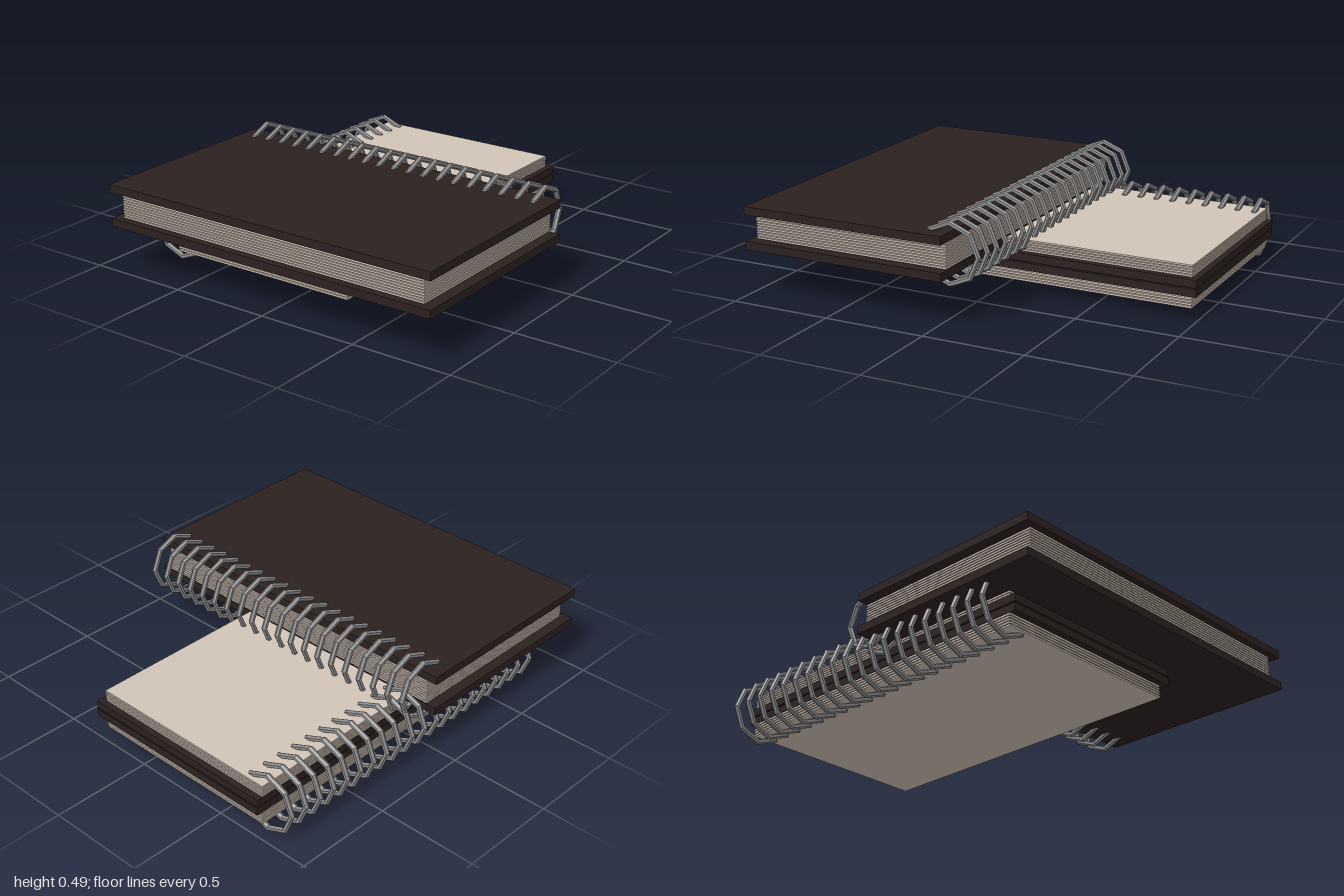
import * as THREE from 'three';

const coverMat = new THREE.MeshStandardMaterial({ color: 0x2b211f });
const pageMat = new THREE.MeshStandardMaterial({ color: 0xd2c4b7 });
const wireMat = new THREE.MeshStandardMaterial({ color: 0x8c8c8c, flatShading: true });

// Box given by its limits on each axis
function box(name, mat, [x0, x1], [y0, y1], [z0, z1]) {
  const mesh = new THREE.Mesh(new THREE.BoxGeometry(x1 - x0, y1 - y0, z1 - z0), mat);
  mesh.name = name;
  mesh.position.set((x0 + x1) / 2, (y0 + y1) / 2, (z0 + z1) / 2);
  return mesh;
}

// Stack of thin separate sheets filling a height range
function pageStack(name, x, [y0, y1], z, count) {
  const stack = new THREE.Group();
  stack.name = name;
  const thick = (y1 - y0) / (count * 1.5 - 0.5);
  for (let i = 0; i < count; i++) {
    const y = y0 + i * thick * 1.5;
    stack.add(box('page', pageMat, x, [y, y + thick], z));
  }
  return stack;
}

// Row of eight-sided wire rings from one position to another
function binding(name, from, to, turn) {
  const rings = new THREE.Group();
  rings.name = name;
  const geometry = new THREE.TorusGeometry(0.141, 0.014, 6, 8);
  const count = 20;
  for (let i = 0; i < count; i++) {
    const ring = new THREE.Mesh(geometry, wireMat);
    ring.name = 'ring';
    ring.position.lerpVectors(from, to, i / (count - 1));
    ring.rotation.y = turn;
    rings.add(ring);
  }
  return rings;
}

export function createModel() {
  const model = new THREE.Group();
  model.name = 'notebooks';

  // Closed notebook lying on top, bound along its back edge
  const upper = new THREE.Group();
  upper.name = 'closedNotebook';
  upper.add(
    box('frontCover', coverMat, [-0.9, 0.9], [0.39, 0.43], [-0.04, 1]),
    box('backCover', coverMat, [-0.9, 0.9], [0.222, 0.262], [-0.04, 1]),
    pageStack('pages', [-0.85, 0.85], [0.266, 0.388], [-0.04, 0.97], 10),
    binding('wireBinding', new THREE.Vector3(-0.82, 0.33, -0.04), new THREE.Vector3(0.815, 0.33, -0.04), Math.PI / 2)
  );

  // Notebook underneath, folded open so its covers meet in the middle
  const lower = new THREE.Group();
  lower.name = 'foldedNotebook';
  const pageX = [-0.73, 0.28], pageZ = [-0.97, 0.74];
  lower.add(
    box('backCover', coverMat, [-0.73, 0.31], [0.162, 0.2], [-1, 0.77]),
    box('frontCover', coverMat, [-0.73, 0.31], [0.118, 0.156], [-1, 0.77]),
    pageStack('upperPages', pageX, [0.202, 0.258], pageZ, 5),
    pageStack('lowerPages', pageX, [0.054, 0.116], pageZ, 5),
    binding('wireBinding', new THREE.Vector3(-0.73, 0.155, 0.71), new THREE.Vector3(-0.73, 0.155, -0.935), 0)
  );

  model.add(upper, lower);
  return model;
}
